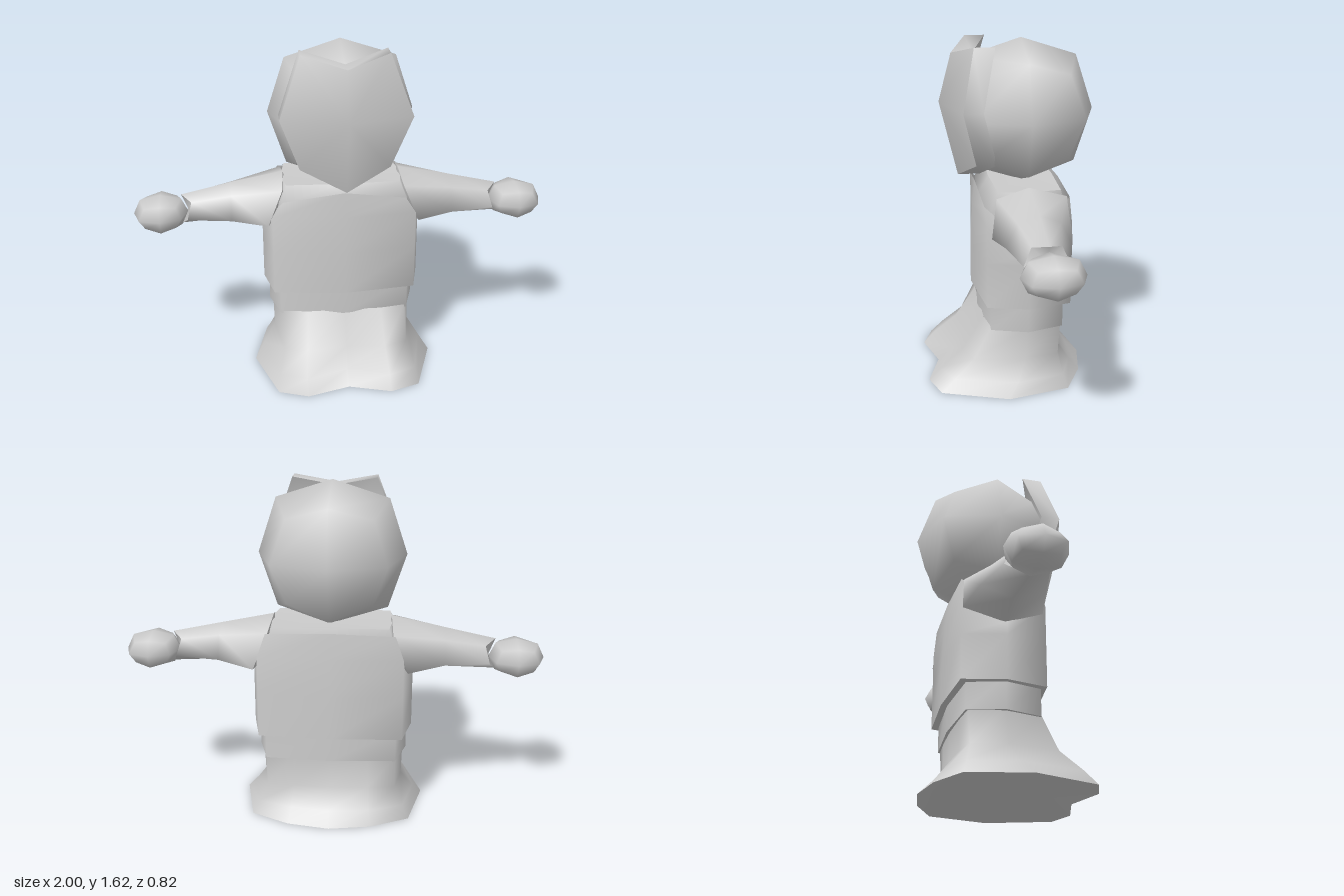
import * as THREE from 'three';

const grey = new THREE.MeshStandardMaterial({ color: 0xcccccc, side: THREE.DoubleSide });
grey.name = 'plain grey';

// Skin a stack of rings; optional start and end points close it with hard-edged caps
function loft(rings, start, end) {
  const pos = [], index = [];
  const n = rings[0].length;
  const add = (points) => {
    const first = pos.length / 3;
    points.forEach((p) => pos.push(...p));
    return first;
  };
  const bases = rings.map(add);
  for (let r = 0; r < rings.length - 1; r++) {
    for (let i = 0; i < n; i++) {
      const j = (i + 1) % n, a = bases[r], b = bases[r + 1];
      index.push(a + i, a + j, b + j, a + i, b + j, b + i);
    }
  }
  const cap = (ring, centre, flip) => {
    const base = add(ring), c = add([centre]);
    for (let i = 0; i < n; i++) {
      const j = (i + 1) % n;
      if (flip) index.push(base + j, base + i, c);
      else index.push(base + i, base + j, c);
    }
  };
  if (start) cap(rings[0], start, true);
  if (end) cap(rings[rings.length - 1], end, false);
  const g = new THREE.BufferGeometry();
  g.setAttribute('position', new THREE.Float32BufferAttribute(pos, 3));
  g.setIndex(index);
  g.computeVertexNormals();
  return g;
}

// Complete a front-to-back half ring by mirroring it across x
function mirrorRing(half) {
  return [...half, ...half.slice(1, -1).reverse().map(([x, y, z]) => [-x, y, z])];
}
const levelRing = (y, half) => mirrorRing(half.map(([x, z]) => [x, y, z]));

// Once-subdivided cube: face centres stick out most, corners least
function softCube(rx, ry, rz) {
  const box = new THREE.BoxGeometry(2, 2, 2, 2, 2, 2);
  const src = box.attributes.position;
  const reach = [0, 1, 0.755, 0.57];
  const points = [], lookup = new Map(), remap = [];
  for (let i = 0; i < src.count; i++) {
    const p = [src.getX(i), src.getY(i), src.getZ(i)].map(Math.round);
    const key = p.map((v) => v + 1).join();
    if (!lookup.has(key)) {
      lookup.set(key, points.length / 3);
      const k = reach[p.filter((v) => v !== 0).length];
      points.push(p[0] * k * rx, p[1] * k * ry, p[2] * k * rz);
    }
    remap.push(lookup.get(key));
  }
  const g = new THREE.BufferGeometry();
  g.setAttribute('position', new THREE.Float32BufferAttribute(points, 3));
  g.setIndex(Array.from(box.index.array, (i) => remap[i]));
  g.computeVertexNormals();
  return g;
}

export function createModel() {
  const model = new THREE.Group();
  model.name = 'figure';
  const part = (name, geometry, position = [0, 0, 0]) => {
    const mesh = new THREE.Mesh(geometry, grey);
    mesh.name = name;
    mesh.position.set(...position);
    model.add(mesh);
  };

  // Head
  part('head', softCube(0.345, 0.34, 0.345), [0, 1.28, -0.065]);

  // Face mask: rim from right around counter-clockwise, back edge then front edge
  const rim = (side, topCorner, top, lowCorner, low) => [
    [0.3, 1.33, side], [0.2, 1.605, topCorner], [0, 1.555, top], [-0.2, 1.605, topCorner],
    [-0.3, 1.33, side], [-0.21, 1.07, lowCorner], [0, 0.975, low], [0.21, 1.07, lowCorner],
  ];
  part('faceMask', loft(
    [rim(0.145, 0.08, 0.16, 0.075, 0.13), rim(0.235, 0.175, 0.26, 0.17, 0.235)],
    [0, 1.33, 0.24], [0, 1.33, 0.32]));

  // Skirted legs with a hollow underside
  part('legs', loft([
    levelRing(0, [[0, 0.35], [0.2, 0.41], [0.34, 0.36], [0.445, 0.05], [0.38, -0.24], [0.2, -0.33], [0, -0.365]]),
    levelRing(0.06, [[0, 0.28], [0.2, 0.355], [0.33, 0.3], [0.4, 0], [0.35, -0.22], [0.19, -0.28], [0, -0.3]]),
    levelRing(0.15, [[0, 0.22], [0.19, 0.245], [0.3, 0.2], [0.34, -0.04], [0.31, -0.2], [0.18, -0.22], [0, -0.225]]),
    levelRing(0.31, [[0, 0.14], [0.18, 0.14], [0.3, 0.12], [0.345, -0.05], [0.31, -0.21], [0.18, -0.22], [0, -0.225]]),
  ], [0, 0.1, 0]));

  // Lower shirt band
  const band = [[0, 0.15], [0.31, 0.12], [0.36, -0.05], [0.31, -0.22], [0, -0.24]];
  part('shirtBand', loft([levelRing(0.297, band), levelRing(0.45, band)], [0, 0.297, -0.05]));

  // Inner body, seen at the neck and shoulders
  part('innerBody', loft([
    levelRing(0.43, [[0, 0.15], [0.31, 0.12], [0.35, -0.05], [0.31, -0.22], [0, -0.24]]),
    levelRing(0.88, [[0, 0.14], [0.3, 0.12], [0.33, -0.05], [0.3, -0.23], [0, -0.24]]),
    levelRing(0.96, [[0, 0.09], [0.27, 0.08], [0.29, -0.05], [0.27, -0.21], [0, -0.22]]),
  ], null, [0, 0.95, -0.06]));

  // Vest, cut low under the arms
  const hem = [[0, 0.18], [0.34, 0.14], [0.385, -0.05], [0.34, -0.25], [0, -0.27]];
  part('vest', loft([
    levelRing(0.425, hem),
    levelRing(0.64, hem),
    mirrorRing([[0, 0.82, 0.17], [0.34, 0.82, 0.14], [0.385, 0.7, -0.05], [0.34, 0.82, -0.25], [0, 0.82, -0.262]]),
    mirrorRing([[0, 0.94, 0.155], [0.29, 0.9, 0.145], [0.375, 0.73, -0.05], [0.3, 0.935, -0.245], [0, 0.945, -0.25]]),
  ], [0, 0.425, -0.05]));

  // Arms and hands
  const arm = [
    [[0.28, 0.98, -0.06], [0.29, 0.935, 0.09], [0.36, 0.77, 0.12], [0.38, 0.7, -0.06], [0.36, 0.76, -0.25], [0.29, 0.935, -0.235]],
    [[0.53, 0.93, -0.065], [0.53, 0.895, 0.03], [0.53, 0.79, 0.085], [0.53, 0.745, -0.065], [0.53, 0.79, -0.21], [0.53, 0.895, -0.16]],
    [[0.77, 0.878, -0.06], [0.72, 0.86, 0.005], [0.74, 0.785, 0.04], [0.77, 0.73, -0.06], [0.74, 0.785, -0.16], [0.72, 0.86, -0.125]],
  ];
  for (const [side, s] of [['left', 1], ['right', -1]]) {
    const rings = arm.map((ring) => {
      const points = ring.map(([x, y, z]) => [x * s, y, z]);
      return s < 0 ? points.reverse() : points;
    });
    part(side + 'Sleeve', loft(rings, [0.25 * s, 0.85, -0.06], [0.74 * s, 0.8, -0.06]));
    part(side + 'Hand', softCube(0.13, 0.088, 0.138), [0.87 * s, 0.79, -0.06]);
  }
  return model;
}
